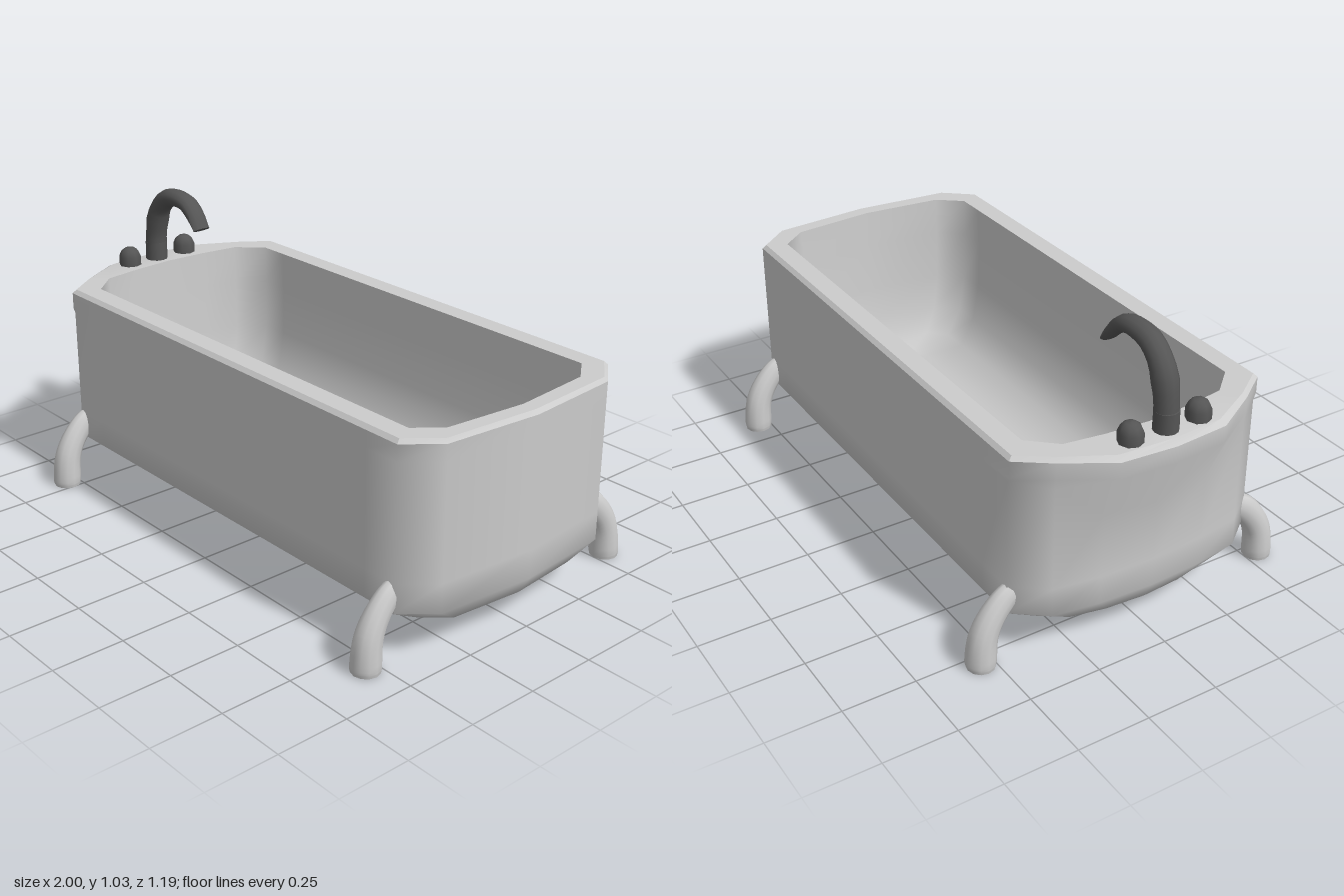
import * as THREE from 'three';
import { toCreasedNormals } from 'three/addons/utils/BufferGeometryUtils.js';

// Skin a list of closed rings; collapsed rings act as caps.
function loft(rings, crease) {
  const pos = [];
  const ab = new THREE.Vector3(), ac = new THREE.Vector3();
  const tri = (a, b, c) => {
    ab.subVectors(b, a);
    ac.subVectors(c, a);
    if (ab.cross(ac).length() < 1e-9) return;
    for (const p of [a, b, c]) pos.push(p.x, p.y, p.z);
  };
  for (let k = 0; k + 1 < rings.length; k++) {
    const A = rings[k], B = rings[k + 1], n = A.length;
    for (let i = 0; i < n; i++) {
      const j = (i + 1) % n;
      tri(A[i], A[j], B[j]);
      tri(A[i], B[j], B[i]);
    }
  }
  const geo = new THREE.BufferGeometry();
  geo.setAttribute('position', new THREE.Float32BufferAttribute(pos, 3));
  return toCreasedNormals(geo, crease);
}

// Half outline [x, z] from the tap end to the foot end, mirrored across z.
function ring(half, y) {
  const pts = half.map(([x, z], i) => new THREE.Vector3(x, Array.isArray(y) ? y[i] : y, z));
  const back = pts.slice(1, -1).reverse().map((p) => new THREE.Vector3(p.x, p.y, -p.z));
  return [...pts, ...back];
}

// Outline shrunk about the tub's middle, separately along x and z.
const shrink = (half, fx, fz) => half.map(([x, z]) => [0.04 + (x - 0.04) * fx, z * fz]);

// Tapered bent tube in the XY plane; each point is [x, y, radius in plane, radius in z].
function sweep(points, steps = 18, sides = 12) {
  const path = new THREE.CatmullRomCurve3(points.map(([x, y]) => new THREE.Vector3(x, y, 0)));
  const radii = new THREE.CatmullRomCurve3(points.map(([, , a, b]) => new THREE.Vector3(a, b, 0)));
  const rings = [];
  for (let k = 0; k <= steps; k++) {
    const p = path.getPoint(k / steps), t = path.getTangent(k / steps), r = radii.getPoint(k / steps);
    const loop = [];
    for (let i = 0; i < sides; i++) {
      const a = (i / sides) * Math.PI * 2, c = Math.cos(a) * r.x;
      loop.push(new THREE.Vector3(p.x - t.y * c, p.y + t.x * c, Math.sin(a) * r.y));
    }
    rings.push(loop);
  }
  rings.unshift(rings[0].map(() => path.getPoint(0)));
  rings.push(rings[1].map(() => path.getPoint(1)));
  return loft(rings, 0.9);
}

export function createModel() {
  const model = new THREE.Group();
  const grey = new THREE.MeshStandardMaterial({ color: 0xcccccc });
  const metal = new THREE.MeshStandardMaterial({ color: 0x555555 });
  const black = new THREE.MeshStandardMaterial({ color: 0x000000 });
  const add = (name, geo, mat, x = 0, y = 0, z = 0) => {
    const m = new THREE.Mesh(geo, mat);
    m.name = name;
    m.position.set(x, y, z);
    model.add(m);
    return m;
  };

  // Tub outlines
  const base = [[-0.885, 0], [-0.875, 0.14], [-0.85, 0.26], [-0.79, 0.345], [-0.66, 0.345],
    [0.75, 0.345], [0.86, 0.345], [0.935, 0.26], [0.96, 0]];
  const wall = [[-0.92, 0], [-0.91, 0.19], [-0.885, 0.35], [-0.8, 0.46], [-0.66, 0.46],
    [0.75, 0.46], [0.88, 0.46], [0.97, 0.35], [1, 0]];
  const lip = [[-1, 0], [-0.985, 0.19], [-0.89, 0.35], [-0.81, 0.46], ...wall.slice(4)];
  const rim = [[-0.975, 0], [-0.962, 0.185], [-0.878, 0.342], [-0.803, 0.447], [-0.66, 0.447],
    [0.75, 0.447], [0.874, 0.447], [0.959, 0.345], [0.987, 0]];
  const mouth = [[-0.86, 0], [-0.85, 0.15], [-0.83, 0.29], [-0.75, 0.378], [-0.64, 0.378],
    [0.73, 0.378], [0.84, 0.378], [0.91, 0.29], [0.937, 0]];

  // Outer shell, with the tap end flaring out into a shelf
  add('tubShell', loft([
    ring(shrink(base, 0.92, 0), 0.08),
    ring(base, 0.105),
    ring(wall, 0.17),
    ring(wall, 0.27),
    ring(wall, [0.48, 0.5, 0.63, 0.65, 0.65, 0.65, 0.65, 0.65, 0.65]),
    ring(lip, 0.665),
    ring(lip, 0.722),
  ], 1.1), grey);

  // Bevelled rim
  add('tubRim', loft([ring(lip, 0.722), ring(rim, 0.735), ring(mouth, 0.735)], 0.5), grey);

  // Basin: steep ends and a rounded trough
  const basin = [[1, 1, 0.735], [0.99, 0.99, 0.6], [0.975, 0.96, 0.42], [0.96, 0.88, 0.29],
    [0.93, 0.7, 0.2], [0.9, 0.4, 0.15], [0.88, 0, 0.13]];
  add('basin', loft(basin.map(([fx, fz, y]) => ring(shrink(mouth, fx, fz), y)), 1.1), grey);

  // Drain plug on the tub floor
  add('drain', new THREE.CylinderGeometry(0.067, 0.067, 0.03, 10), black, -0.55, 0.135, 0);

  // Curved legs, splayed out to the sides
  const legGeo = sweep([
    [0.43, 0.24, 0.042, 0.027],
    [0.465, 0.217, 0.045, 0.032],
    [0.51, 0.165, 0.046, 0.039],
    [0.537, 0.105, 0.048, 0.045],
    [0.546, 0.02, 0.05, 0.051],
    [0.546, 0, 0.047, 0.048],
  ], 20);
  for (const [end, x] of [['right', -0.79], ['left', 0.855]]) {
    for (const [face, s] of [['Front', 1], ['Back', -1]]) {
      add(end + face + 'Leg', legGeo, grey, x).rotation.y = (-s * Math.PI) / 2;
    }
  }

  // Faucet: collar and tapering gooseneck
  add('faucetCollar', new THREE.CylinderGeometry(0.04, 0.041, 0.075, 12), metal, -0.92, 0.765, 0.014);
  add('faucetSpout', sweep([
    [-0.92, 0.74, 0.037, 0.04],
    [-0.915, 0.84, 0.037, 0.04],
    [-0.888, 0.93, 0.037, 0.04],
    [-0.835, 0.985, 0.035, 0.039],
    [-0.77, 1, 0.031, 0.039],
    [-0.705, 0.99, 0.028, 0.038],
    [-0.658, 0.952, 0.022, 0.037],
    [-0.628, 0.912, 0.012, 0.036],
  ], 18), metal, 0, 0, 0.014);

  // Tap knobs
  const knob = [[0.041, 0], [0.041, 0.034], [0.032, 0.054], [0.018, 0.065], [0, 0.067]];
  const knobGeo = new THREE.LatheGeometry(knob.map(([r, y]) => new THREE.Vector2(r, y)), 8);
  add('frontKnob', knobGeo, metal, -0.92, 0.734, 0.135);
  add('backKnob', knobGeo, metal, -0.92, 0.734, -0.114);

  return model;
}
